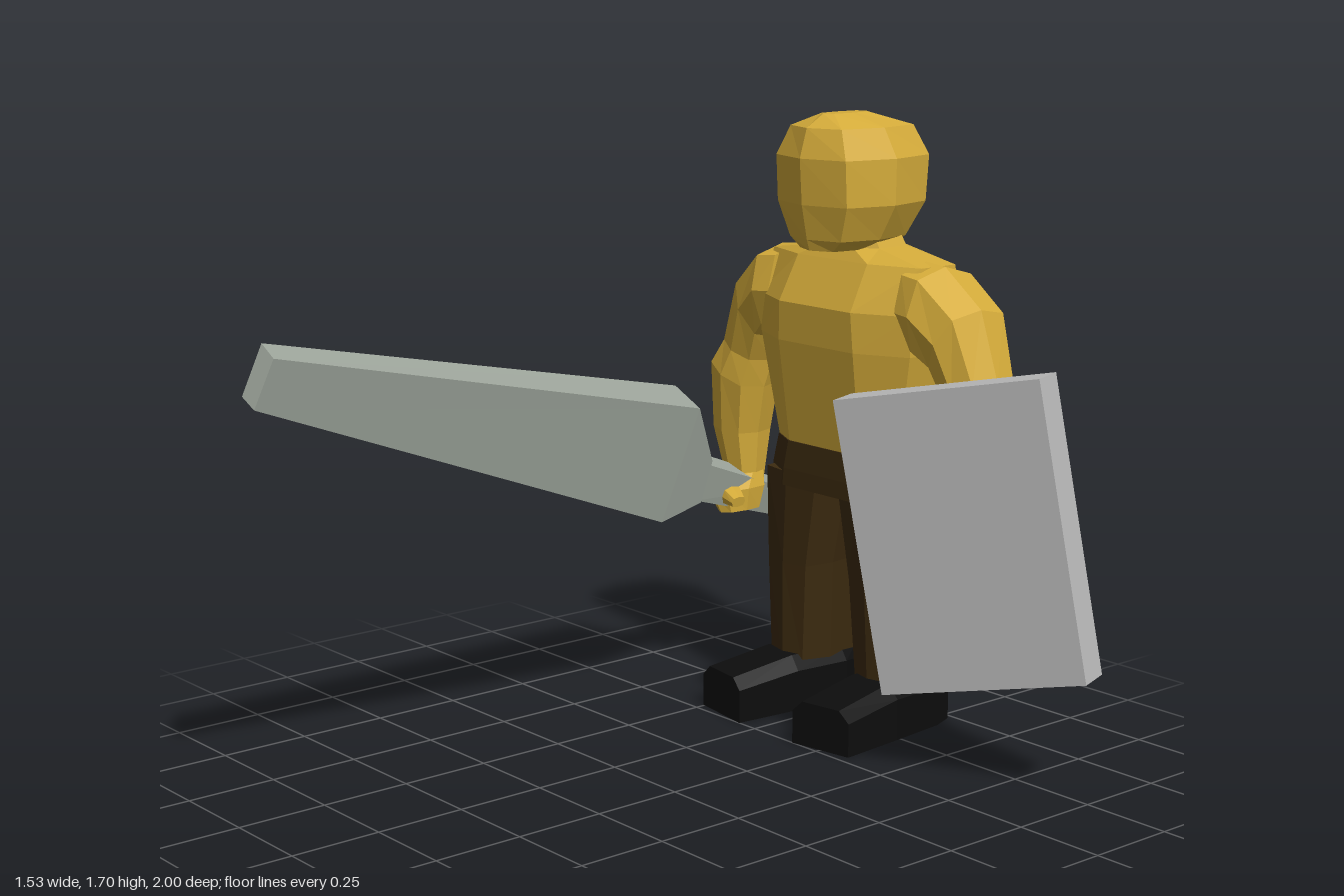
import * as THREE from 'three';

const CX = -0.205; // middle of the figure's body
const V = (x, y, z) => new THREE.Vector3(x, y, z);
const mat = (name, color) => {
  const m = new THREE.MeshStandardMaterial({ color });
  m.name = name;
  return m;
};

// Closed faceted solid through cross-sections that share a point count
function loft(rings) {
  const tris = [];
  const n = rings[0].length;
  for (let i = 0; i < rings.length - 1; i++) {
    for (let j = 0; j < n; j++) {
      const k = (j + 1) % n;
      const [a, b, c, d] = [rings[i][j], rings[i][k], rings[i + 1][k], rings[i + 1][j]];
      tris.push([a, b, c], [a, c, d]);
    }
  }
  const first = rings[0], last = rings[rings.length - 1];
  for (let j = 1; j < n - 1; j++) {
    tris.push([first[0], first[j + 1], first[j]], [last[0], last[j], last[j + 1]]);
  }
  // Turn the faces outward whichever way the sections run
  let volume = 0;
  for (const [a, b, c] of tris) volume += a.dot(V(0, 0, 0).crossVectors(b, c));
  const points = tris.flatMap(([a, b, c]) => (volume < 0 ? [a, c, b] : [a, b, c]));
  const g = new THREE.BufferGeometry().setFromPoints(points);
  g.computeVertexNormals();
  return g;
}

// Level octagon with a flat front and back
const slab = (y, hw, zf, zb, flat = 0.5) => {
  const q = (zf - zb) * 0.22;
  return [[flat, zf], [1, zf - q], [1, zb + q], [flat, zb], [-flat, zb], [-1, zb + q], [-1, zf - q], [-flat, zf]]
    .map(([u, z]) => V(CX + u * hw, y, z));
};

// Eight-sided oval section between an outer and an inner point
const oval = (side, [ox, oy], [ix, iy], zf, zb, diag = 0.78) => {
  const ring = [];
  for (let i = 0; i < 8; i++) {
    const s = i % 2 ? diag / Math.SQRT1_2 : 1;
    const c = Math.cos((i * Math.PI) / 4) * s, t = Math.sin((i * Math.PI) / 4) * s;
    ring.push(V(
      CX + side * ((ox + ix) / 2 + (c * (ox - ix)) / 2),
      (oy + iy) / 2 + (c * (oy - iy)) / 2,
      (zf + zb) / 2 + (t * (zf - zb)) / 2));
  }
  return ring;
};

export function createModel() {
  const group = new THREE.Group();
  const gold = mat('goldSkin', 0xd4ab3a);
  const brown = mat('brownCloth', 0x3d2b10);
  const black = mat('blackLeather', 0x0d0d0d);
  const grey = mat('greyShield', 0xbcbcbc);
  const steel = mat('greenishSteel', 0x9da59b);
  const add = (name, material, rings) => {
    const mesh = new THREE.Mesh(loft(rings), material);
    mesh.name = name;
    group.add(mesh);
  };

  // Head: y, half width, front z, back z
  add('head', gold, [
    [1.335, 0.08, -0.645, -0.91], [1.365, 0.125, -0.635, -0.94], [1.46, 0.17, -0.615, -0.985],
    [1.585, 0.17, -0.606, -0.997], [1.665, 0.125, -0.63, -0.965], [1.7, 0.03, -0.69, -0.85],
  ].map(([y, hw, zf, zb]) => oval(1, [hw, y], [-hw, y], zf, zb, 0.8)));

  // Torso and neck
  add('torso', gold, [
    slab(0.77, 0.235, -0.71, -0.935, 0.6), slab(1.07, 0.295, -0.67, -0.985, 0.5),
    slab(1.18, 0.3, -0.665, -1.0, 0.47), slab(1.305, 0.29, -0.73, -0.96, 0.47),
    slab(1.34, 0.12, -0.75, -0.935, 0.5), slab(1.4, 0.09, -0.75, -0.92, 0.5),
  ]);

  // Hips
  add('hips', brown, [
    slab(0.65, 0.265, -0.7, -0.955, 0.6), slab(0.7, 0.258, -0.7, -0.955, 0.6),
    slab(0.78, 0.237, -0.705, -0.937, 0.6),
  ]);

  for (const [side, word] of [[1, 'left'], [-1, 'right']]) {
    // Arm, shoulder to wrist
    add(word + 'Arm', gold, [
      oval(side, [0.25, 1.315], [0.25, 1.06], -0.72, -0.96),
      oval(side, [0.32, 1.308], [0.295, 1.06], -0.71, -0.97),
      oval(side, [0.44, 1.205], [0.335, 1.03], -0.73, -0.98),
      oval(side, [0.51, 1.02], [0.37, 0.96], -0.75, -0.95),
      oval(side, [0.557, 0.95], [0.39, 0.88], -0.74, -0.93),
      oval(side, [0.562, 0.75], [0.42, 0.74], -0.76, -0.92),
      oval(side, [0.52, 0.58], [0.43, 0.58], -0.79, -0.89),
    ]);

    // Hand and thumb
    add(word + 'Hand', gold, [
      oval(side, [0.525, 0.62], [0.425, 0.62], -0.76, -0.89),
      oval(side, [0.52, 0.565], [0.405, 0.58], -0.7, -0.885),
      oval(side, [0.48, 0.51], [0.41, 0.515], -0.72, -0.86),
    ]);
    add(word + 'Thumb', gold, [
      oval(side, [0.43, 0.6], [0.43, 0.54], -0.7, -0.78),
      oval(side, [0.36, 0.575], [0.365, 0.545], -0.69, -0.74),
    ]);

    // Trouser leg
    add(word + 'Leg', brown, [
      oval(side, [0.262, 0.69], [0.025, 0.69], -0.7, -0.955, 0.85),
      oval(side, [0.256, 0.42], [0.075, 0.42], -0.71, -0.932, 0.85),
      oval(side, [0.25, 0.13], [0.097, 0.13], -0.72, -0.955, 0.85),
    ]);

    // Boot, heel to toe, turned slightly outward
    add(word + 'Boot', black, [
      [-0.97, 0.165, 0.07, 0.148], [-0.9, 0.17, 0.09, 0.152],
      [-0.72, 0.185, 0.095, 0.155], [-0.515, 0.205, 0.095, 0.125],
    ].map(([z, d, hw, top]) =>
      [[-1, 0], [1, 0], [1, top * 0.75], [0.65, top], [-0.65, top], [-1, top * 0.75]]
        .map(([u, y]) => V(CX + side * (d + u * hw), y, z - u * hw * 0.16))));
  }

  // Tilted slab shield
  const face = [V(0.085, 0.99, -0.464), V(0.62, 1.1, -0.66), V(0.765, 0.33, -0.71), V(0.235, 0.215, -0.514)];
  const depth = V(-0.037, 0, -0.103);
  add('shield', grey, [face, face.map((p) => p.clone().add(depth))]);

  // Broad blade narrowing to the tip and into the grip
  add('swordBlade', steel, [
    [V(-0.404, 1.11, 1), V(-0.35, 1.085, 1), V(-0.337, 1.205, 0.95), V(-0.39, 1.235, 0.95)],
    [V(-0.697, 0.59, -0.45), V(-0.583, 0.54, -0.44), V(-0.547, 0.86, -0.55), V(-0.655, 0.91, -0.55)],
    [V(-0.685, 0.61, -0.6), V(-0.6, 0.57, -0.6), V(-0.585, 0.69, -0.63), V(-0.67, 0.73, -0.63)],
  ]);
  add('swordGrip', steel, [
    [V(-0.685, 0.61, -0.59), V(-0.61, 0.575, -0.59), V(-0.595, 0.68, -0.62), V(-0.67, 0.71, -0.62)],
    [V(-0.718, 0.5, -0.92), V(-0.658, 0.475, -0.92), V(-0.643, 0.555, -0.955), V(-0.703, 0.58, -0.955)],
  ]);

  return group;
}
